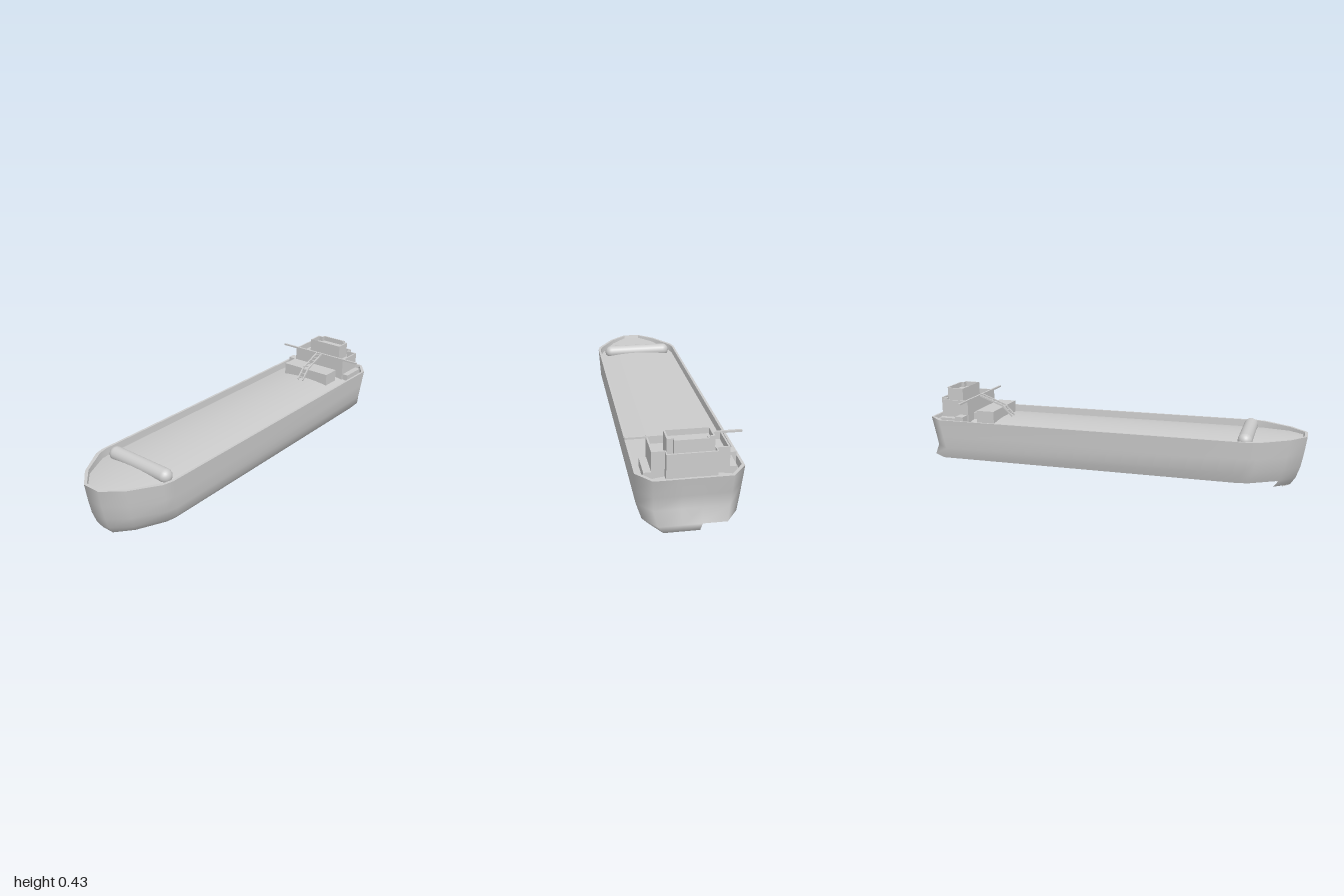
import * as THREE from 'three';
import { toCreasedNormals } from 'three/addons/utils/BufferGeometryUtils.js';

const grey = new THREE.MeshStandardMaterial({ color: 0xcccccc, side: THREE.DoubleSide });

// Plan outline of the ship at one height: half width w, bow z and stern z
function ring(y, w, bow, stern) {
  const half = [[0.2, stern], [0.72, stern], [1, stern + 0.08], [1, bow - 0.27],
    [0.95, bow - 0.22], [0.58, bow - 0.08], [0.2, bow]];
  const right = half.map(([f, z]) => new THREE.Vector3(f * w, y, z));
  const left = right.map(p => new THREE.Vector3(-p.x, y, p.z)).reverse();
  return [...right, ...left];
}

// Skin between rows of points; skip(row, a, b) leaves a panel open
function loft(rows, closed, skip = () => false) {
  const n = rows[0].length, index = [];
  for (let i = 0; i < rows.length - 1; i++) {
    for (let j = 0; j < (closed ? n : n - 1); j++) {
      const k = (j + 1) % n;
      if (skip(i, j, k)) continue;
      const a = i * n + j, b = i * n + k, c = b + n, d = a + n;
      index.push(a, b, c, a, c, d);
    }
  }
  const g = new THREE.BufferGeometry().setFromPoints(rows.flat());
  g.setIndex(index);
  g.computeVertexNormals();
  return g;
}

export function createModel() {
  const ship = new THREE.Group();
  const add = (name, geometry, x = 0, y = 0, z = 0) => {
    const m = new THREE.Mesh(geometry, grey);
    m.name = name;
    m.position.set(x, y, z);
    ship.add(m);
    return m;
  };
  const box = (name, x0, x1, y0, y1, z0, z1) =>
    add(name, new THREE.BoxGeometry(x1 - x0, y1 - y0, z1 - z0), (x0 + x1) / 2, (y0 + y1) / 2, (z0 + z1) / 2);

  // Hull shell, open underneath and with the bilge panels missing on one side
  const rows = [
    ring(0.277, 0.237, 1, -1),
    ring(0.19, 0.232, 0.988, -0.983),
    ring(0.12, 0.228, 0.975, -0.97),
    ring(0.06, 0.207, 0.955, -1),
    ring(0.02, 0.172, 0.93, -0.985),
    ring(0, 0.14, 0.89, -0.95),
  ];
  const limit = { 3: -0.6, 4: -0.25 };
  const open = (i, j, k) => i in limit &&
    Math.min(rows[0][j].x, rows[0][k].x) < limit[i] * rows[0][0].x / 0.2;
  add('hull', loft(rows, true, open));

  // Bulwark rim and its inner face
  add('bulwark', toCreasedNormals(loft([
    ring(0.235, 0.222, 0.975, -0.98),
    ring(0.277, 0.225, 0.985, -0.988),
    ring(0.277, 0.237, 1, -1),
  ], true), 0.6));

  // Cambered deck
  const stations = [[-0.983, 0.16], [-0.91, 0.223], [0.72, 0.223], [0.77, 0.212], [0.905, 0.13], [0.977, 0.045]];
  const deckRows = stations.map(([z, w]) => Array.from({ length: 13 }, (_, i) => {
    const x = (i / 6 - 1) * w;
    return new THREE.Vector3(x, 0.265 - 0.5 * x * x, z);
  })).reverse();
  add('deck', loft(deckRows, false));

  // Rounded breakwater across the foredeck
  const roll = add('breakwater', new THREE.CapsuleGeometry(0.036, 0.32, 8, 20), 0, 0.267, 0.705);
  roll.rotation.z = Math.PI / 2;

  // Open-topped house: walls around a sunken roof, plan points as [x, z]
  function house(name, plan, y0, y1, roofY, wall) {
    const cz = (plan[0][1] + plan[plan.length - 1][1]) / 2;
    const outline = plan.map(([x, z]) => new THREE.Vector2(x, -z));
    const hw = Math.max(...plan.map(p => p[0]));
    const hz = Math.max(...plan.map(p => Math.abs(p[1] - cz)));
    const inner = plan.map(([x, z]) =>
      new THREE.Vector2(x * (1 - wall / hw), -(cz + (z - cz) * (1 - wall / hz))));
    const shape = new THREE.Shape(outline);
    shape.holes.push(new THREE.Path(inner));
    const walls = new THREE.ExtrudeGeometry(shape, { depth: y1 - y0, bevelEnabled: false });
    add(name + 'Walls', walls.rotateX(-Math.PI / 2), 0, y0, 0);
    add(name + 'Roof', new THREE.ShapeGeometry(new THREE.Shape(inner)).rotateX(-Math.PI / 2), 0, roofY, 0);
  }
  const mirrored = half => [...half, ...half.map(([x, z]) => [-x, z]).reverse()];
  house('deckhouse', mirrored([[0.167, -0.78], [0.167, -0.93], [0.11, -0.93], [0.11, -0.965]]), 0.24, 0.375, 0.34, 0.008);
  house('bridge', mirrored([[0.102, -0.84], [0.102, -0.925], [0.075, -0.925], [0.075, -0.945]]), 0.33, 0.427, 0.4, 0.008);

  // Lower side lockers and bridge wing plank
  box('rightLocker', -0.222, -0.165, 0.24, 0.298, -0.83, -0.785);
  box('rightSideHouse', -0.2, -0.165, 0.23, 0.283, -0.93, -0.83);
  box('leftSideHouse', 0.165, 0.2, 0.23, 0.283, -0.93, -0.79);
  box('bridgeWing', -0.257, 0.257, 0.371, 0.38, -0.789, -0.778);

  // Low house and step ahead of the bridge
  box('forwardHouse', -0.147, 0.147, 0.24, 0.32, -0.74, -0.64);
  box('houseStep', -0.1, 0.1, 0.24, 0.298, -0.785, -0.74);

  // Ladder running down over the forward house to the deck
  const path = [[0.376, -0.782], [0.326, -0.645], [0.27, -0.59]].map(([y, z]) => new THREE.Vector3(0, y, z));
  for (let i = 0; i < 2; i++) {
    const a = path[i], b = path[i + 1];
    for (const s of [-1, 1]) {
      const rail = add('ladderRail', new THREE.BoxGeometry(0.007, 0.009, a.distanceTo(b) + 0.004));
      rail.position.lerpVectors(a, b, 0.5).setX(s * 0.0165);
      rail.rotation.x = Math.atan2(a.y - b.y, b.z - a.z);
    }
    const rungs = i ? 3 : 5;
    for (let r = 0; r < rungs; r++) {
      const p = a.clone().lerp(b, (r + 0.5) / rungs);
      add('ladderRung', new THREE.BoxGeometry(0.03, 0.005, 0.007), 0, p.y, p.z);
    }
  }
  return ship;
}
